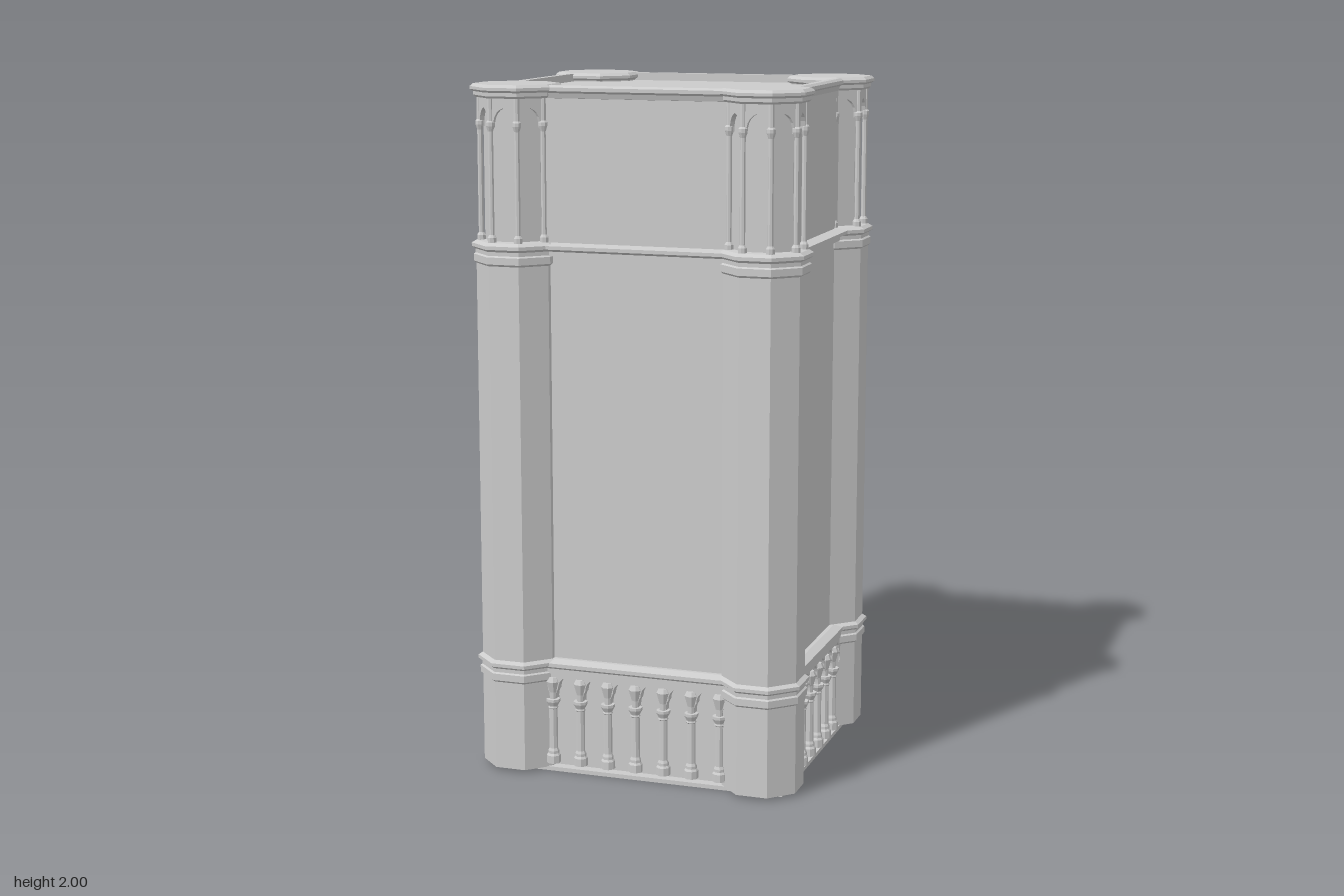
import * as THREE from 'three';

const mat = new THREE.MeshStandardMaterial({ color: 0xcccccc, flatShading: true, side: THREE.DoubleSide });
const TOWER_X = 0.369, TOWER_Z = 0.331;
const OCT = 1 / Math.cos(Math.PI / 8); // flat-to-flat half width -> corner radius

function add(parent, name, geometry, x = 0, y = 0, z = 0) {
  const mesh = new THREE.Mesh(geometry, mat);
  mesh.name = name;
  mesh.position.set(x, y, z);
  parent.add(mesh);
  return mesh;
}

// Eight-sided turned solid from [half width, y] pairs, flats facing the axes
function octagon(profile) {
  const pts = profile.map(([r, y]) => new THREE.Vector2(r * OCT, y));
  return new THREE.LatheGeometry(pts, 8).rotateY(Math.PI / 8);
}

// Moulding of [outward, y] pairs run along x, centred
function moulding(profile, length) {
  const shape = new THREE.Shape(profile.map(([o, y]) => new THREE.Vector2(o, y)));
  const g = new THREE.ExtrudeGeometry(shape, { depth: length, bevelEnabled: false });
  return g.translate(0, 0, -length / 2).rotateY(-Math.PI / 2);
}

// Stepped band around a tower, starting at height y
const towerBand = (y) => [
  [0.11, y], [0.117, y + 0.006], [0.117, y + 0.026], [0.112, y + 0.03],
  [0.112, y + 0.041], [0.122, y + 0.048], [0.122, y + 0.058], [0.11, y + 0.066],
];

const towerGeometry = octagon([
  [0, 0.01], [0.11, 0.01], ...towerBand(0.272), ...towerBand(1.492),
  [0.086, 1.56], [0.086, 1.962], [0.106, 1.962], [0.112, 1.968], [0.112, 1.978],
  [0.121, 1.984], [0.121, 1.992], [0.112, 2], [0, 2],
]);

// Panel with an arched opening for one face of the tower gallery
function galleryArch() {
  const h = 0.0414, s = new THREE.Shape();
  s.moveTo(-h, 1.963);
  s.lineTo(-h, 1.88);
  s.lineTo(-0.03, 1.88);
  s.quadraticCurveTo(-0.03, 1.925, 0, 1.935);
  s.quadraticCurveTo(0.03, 1.925, 0.03, 1.88);
  s.lineTo(h, 1.88);
  s.lineTo(h, 1.963);
  return new THREE.ExtrudeGeometry(s, { depth: 0.014, bevelEnabled: false, curveSegments: 5 });
}
const galleryArchGeometry = galleryArch();

const colonnetteGeometry = new THREE.LatheGeometry([
  [0, 1.556], [0.013, 1.556], [0.013, 1.572], [0.008, 1.58], [0.008, 1.87],
  [0.013, 1.885], [0.013, 1.895], [0.009, 1.9], [0.009, 1.963],
].map(([r, y]) => new THREE.Vector2(r, y)), 8);

function tower(x, z) {
  const g = new THREE.Group();
  g.name = 'cornerTower';
  g.position.set(x, 0, z);
  add(g, 'towerShaft', towerGeometry);
  for (let i = 0; i < 8; i++) {
    const a = i * Math.PI / 4, c = a + Math.PI / 8, r = 0.096 * OCT;
    const arch = add(g, 'galleryArch', galleryArchGeometry, 0.086 * Math.sin(a), 0, 0.086 * Math.cos(a));
    arch.rotation.y = a;
    add(g, 'galleryColonnette', colonnetteGeometry, r * Math.sin(c), 0, r * Math.cos(c));
  }
  return g;
}

// Column of the base arcade
const PITCH = 0.085;
const columnGeometry = octagon([
  [0, 0.025], [0.019, 0.025], [0.019, 0.048], [0.015, 0.054], [0.015, 0.062], [0.0115, 0.07],
  [0.0115, 0.19], [0.014, 0.193], [0.012, 0.198], [0.019, 0.212], [0.019, 0.22], [0, 0.22],
]);
// Flared leaf above each capital, in the spandrel
const leafGeometry = octagon([[0, 0.22], [0.009, 0.22], [0.01, 0.24], [0.018, 0.272], [0.012, 0.285], [0, 0.285]]);

// Row of cusped pointed arches cut into the lower edge of a panel
function arcadePanel(openings) {
  const s = new THREE.Shape(), half = openings * PITCH / 2;
  s.moveTo(-half, 0.315);
  s.lineTo(-half, 0.215);
  for (let i = 0; i < openings; i++) {
    const c = -half + (i + 0.5) * PITCH;
    s.lineTo(c - 0.033, 0.215);
    s.quadraticCurveTo(c - 0.035, 0.24, c - 0.026, 0.25);
    s.quadraticCurveTo(c - 0.026, 0.278, c, 0.288);
    s.quadraticCurveTo(c + 0.026, 0.278, c + 0.026, 0.25);
    s.quadraticCurveTo(c + 0.035, 0.24, c + 0.033, 0.215);
  }
  s.lineTo(half, 0.215);
  s.lineTo(half, 0.315);
  return new THREE.ExtrudeGeometry(s, { depth: 0.028, bevelEnabled: false, curveSegments: 4 });
}

// Everything attached to one wall, built facing +z
function wallSide(name, angle, d, length, columns, midBand) {
  const g = new THREE.Group();
  g.name = name;
  g.rotation.y = angle;
  const band = (y) => [
    [-0.02, y], [0.03, y], [0.03, y + 0.016], [0.037, y + 0.022],
    [0.037, y + 0.033], [0.012, y + 0.042], [-0.02, y + 0.042],
  ];
  add(g, 'lowerCornice', moulding(band(0.296), length), 0, 0, d);
  if (midBand) {
    const mid = [[-0.02, 1.516], [0.014, 1.52], [0.014, 1.532], [0.035, 1.54], [0.035, 1.55], [-0.02, 1.56]];
    add(g, 'middleCornice', moulding(mid, length), 0, 0, d);
  }
  const top = [[-0.008, 1.96], [0.005, 1.962], [0.01, 1.976], [0.02, 1.982], [0.02, 1.992], [0.012, 1.998], [-0.008, 1.998]];
  add(g, 'parapet', moulding(top, length), 0, 0, d);
  add(g, 'arcadeArches', arcadePanel(columns + 1), 0, 0, d);
  for (let i = 0; i < columns; i++) {
    const x = (i - (columns - 1) / 2) * PITCH;
    add(g, 'arcadeColumn', columnGeometry, x, 0, d + 0.024);
    add(g, 'arcadeLeaf', leafGeometry, x, 0, d + 0.024);
  }
  return g;
}

export function createModel() {
  const model = new THREE.Group();
  model.name = 'squareTower';

  // Main block and the floor under it
  add(model, 'body', new THREE.BoxGeometry(0.83, 1.97, 0.72), 0, 0.99, 0);
  add(model, 'floorSlab', new THREE.BoxGeometry(0.89, 0.012, 0.765), 0, 0.006, 0.008);

  for (const sx of [-1, 1]) for (const sz of [-1, 1]) model.add(tower(sx * TOWER_X, sz * TOWER_Z));

  model.add(wallSide('frontSide', 0, 0.36, 2 * TOWER_X, 7, true));
  model.add(wallSide('backSide', Math.PI, 0.36, 2 * TOWER_X, 7, false));
  model.add(wallSide('leftSide', Math.PI / 2, 0.415, 2 * TOWER_Z, 5, true));
  model.add(wallSide('rightSide', -Math.PI / 2, 0.415, 2 * TOWER_Z, 5, true));
  return model;
}
